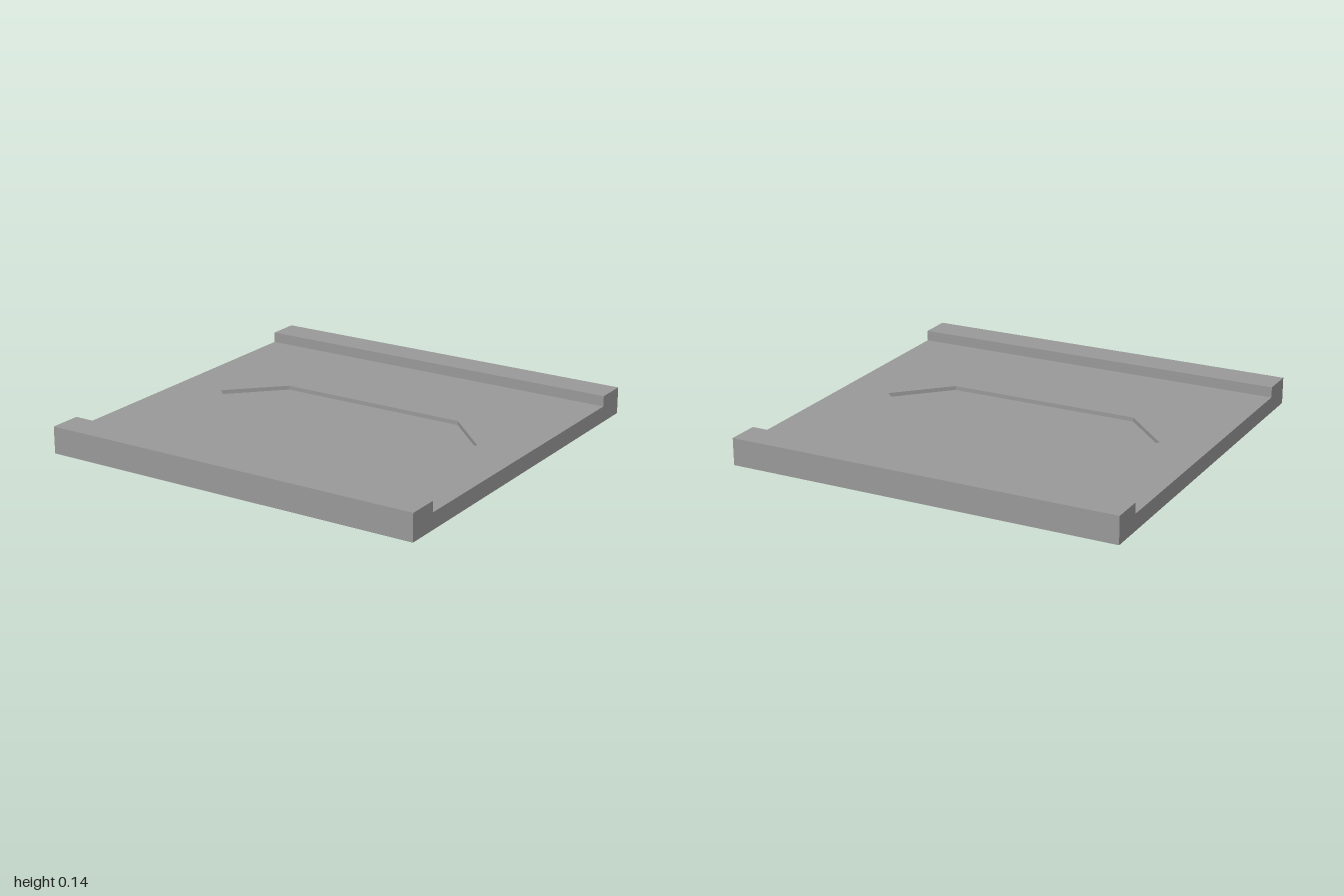
import * as THREE from 'three';

const HALF = 1, HEIGHT = 0.137, FLOOR = 0.083, RAIL_Z = 0.835, RECESS_Y = 0.062;

// Flat four-sided faces, each listed as corners in counter-clockwise order
function quads(faces) {
  const positions = faces.flatMap(([a, b, c, d]) => [a, b, c, a, c, d].flat());
  const geometry = new THREE.BufferGeometry();
  geometry.setAttribute('position', new THREE.Float32BufferAttribute(positions, 3));
  geometry.computeVertexNormals();
  return geometry;
}

const outline = (points) => new THREE.Shape(points.map(([x, y]) => new THREE.Vector2(x, y)));

export function createModel() {
  const group = new THREE.Group();
  const grey = new THREE.MeshStandardMaterial({ color: 0x999999 });
  grey.name = 'grey';

  const add = (name, geometry) => {
    const mesh = new THREE.Mesh(geometry, grey);
    mesh.name = name;
    group.add(mesh);
  };

  // Cross-section as (z, y): a slab with a raised rail along front and back
  const profile = [
    [HALF, 0], [HALF, HEIGHT], [RAIL_Z, HEIGHT], [RAIL_Z, FLOOR],
    [-RAIL_Z, FLOOR], [-RAIL_Z, HEIGHT], [-HALF, HEIGHT], [-HALF, 0],
  ];

  // Outer faces along x; the floor between the rails is made separately
  const shell = [];
  profile.forEach(([z, y], i) => {
    if (i === 3) return;
    const [z2, y2] = profile[(i + 1) % profile.length];
    shell.push([[-HALF, y, z], [HALF, y, z], [HALF, y2, z2], [-HALF, y2, z2]]);
  });
  add('slabAndRails', quads(shell));

  // Flat ends
  for (const side of [1, -1]) {
    const end = new THREE.ShapeGeometry(outline(profile));
    end.rotateY(side * Math.PI / 2).translate(side * HALF, 0, 0);
    add(side > 0 ? 'leftEnd' : 'rightEnd', end);
  }

  // Floor with a long hexagonal opening
  const hexagon = [[0.75, 0], [0.5, 0.25], [-0.5, 0.25], [-0.75, 0], [-0.5, -0.25], [0.5, -0.25]];
  const floor = outline([[-HALF, -RAIL_Z], [HALF, -RAIL_Z], [HALF, RAIL_Z], [-HALF, RAIL_Z]]);
  floor.holes.push(outline(hexagon));
  add('floor', new THREE.ShapeGeometry(floor).rotateX(-Math.PI / 2).translate(0, FLOOR, 0));

  // Shallow recess: sunken bottom and inward-facing walls
  add('recessBottom', new THREE.ShapeGeometry(outline(hexagon)).rotateX(-Math.PI / 2).translate(0, RECESS_Y, 0));
  add('recessWalls', quads(hexagon.map(([x, z], i) => {
    const [x2, z2] = hexagon[(i + 1) % hexagon.length];
    return [[x, RECESS_Y, z], [x2, RECESS_Y, z2], [x2, FLOOR, z2], [x, FLOOR, z]];
  })));

  return group;
}
